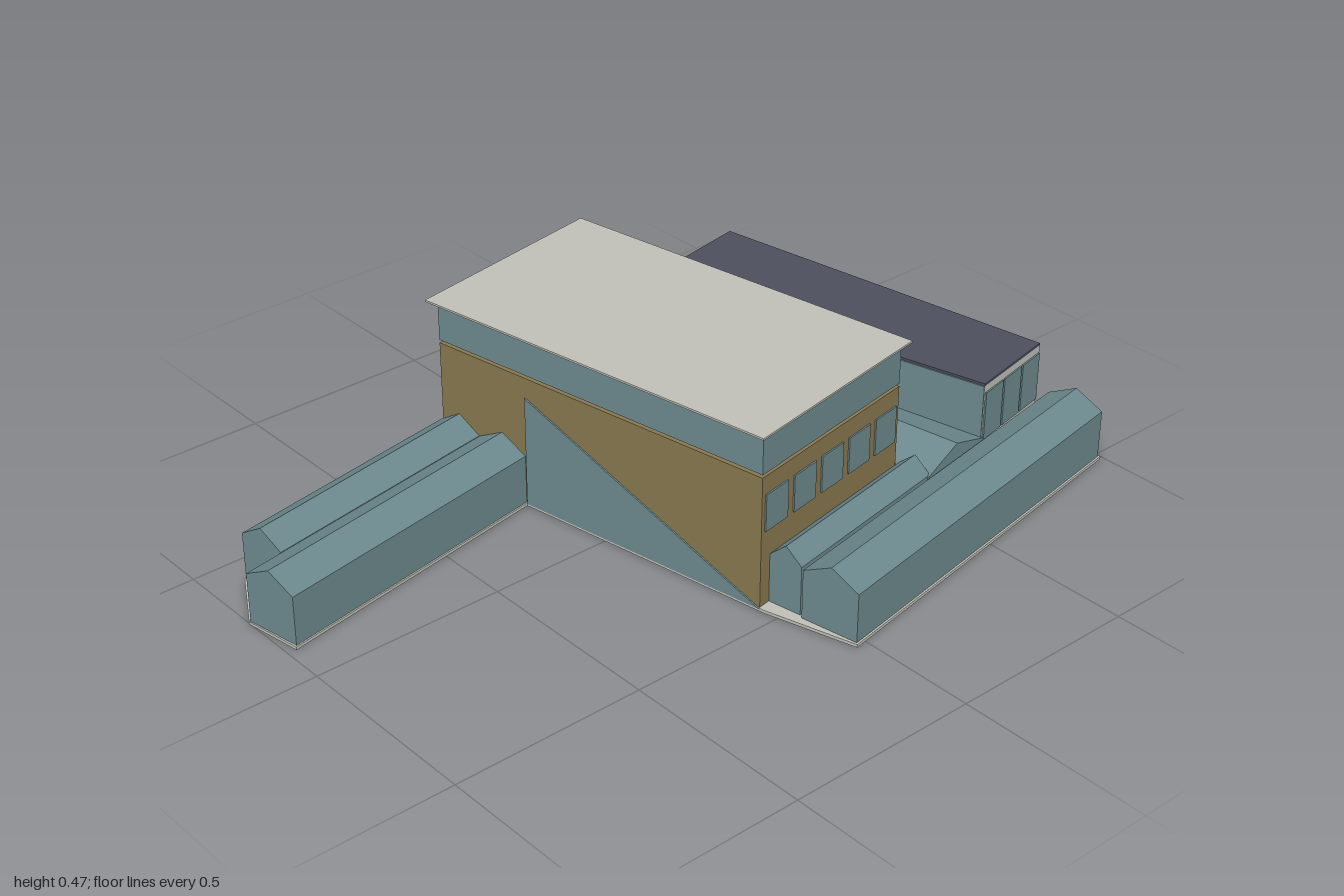
import * as THREE from 'three';

const mat = (name, color) => {
  const m = new THREE.MeshStandardMaterial({ color });
  m.name = name;
  return m;
};

export function createModel() {
  const teal = mat('teal cladding', 0x6c898d);
  const tan = mat('tan wall', 0x87774f);
  const grey = mat('light grey', 0xbfbfb7);
  const slate = mat('slate roof', 0x4c4e5c);

  const model = new THREE.Group();
  model.name = 'buildingComplex';
  // The whole site is turned slightly from the axes
  const site = new THREE.Group();
  site.name = 'site';
  site.rotation.y = THREE.MathUtils.degToRad(9.8);
  model.add(site);

  const add = (name, geo, material) => {
    const mesh = new THREE.Mesh(geo, material);
    mesh.name = name;
    site.add(mesh);
    return mesh;
  };

  const extrude = (points, depth) => new THREE.ExtrudeGeometry(
    new THREE.Shape(points.map(([x, y]) => new THREE.Vector2(x, y))),
    { depth, bevelEnabled: false });

  // Upright block between x, y and z limits
  const block = (name, x0, x1, y0, y1, z0, z1, material) =>
    add(name, new THREE.BoxGeometry(x1 - x0, y1 - y0, z1 - z0)
      .translate((x0 + x1) / 2, (y0 + y1) / 2, (z0 + z1) / 2), material);

  // Slab with a polygon plan of [x, z] points
  const slab = (name, plan, y0, y1, material) =>
    add(name, extrude(plan.map(([x, z]) => [x, -z]), y1 - y0)
      .rotateX(-Math.PI / 2).translate(0, y0, 0), material);

  // Thin upright plate standing on the plan line a-b
  const plate = (name, a, b, y0, y1, material) => {
    const dx = b[0] - a[0], dz = b[1] - a[1];
    add(name, new THREE.BoxGeometry(Math.hypot(dx, dz), y1 - y0, 0.008)
      .rotateY(Math.atan2(-dz, dx))
      .translate((a[0] + b[0]) / 2, (y0 + y1) / 2, (a[1] + b[1]) / 2), material);
  };

  // Evenly spaced plates along a wall
  const windows = (name, a, b, count, fill, y0, y1) => {
    const at = (t) => [a[0] + (b[0] - a[0]) * t, a[1] + (b[1] - a[1]) * t];
    for (let i = 0; i < count; i++) {
      const mid = (i + 0.5) / count, half = fill / count / 2;
      plate(name, at(mid - half), at(mid + half), y0, y1, teal);
    }
  };

  // Low wing with a gable roof, its ridge along x or z
  const wing = (name, x0, x1, z0, z1, ridge) => {
    const half = (ridge === 'x' ? z1 - z0 : x1 - x0) / 2;
    const section = [[-half, 0.006], [half, 0.006], [half, 0.137], [0, 0.176], [-half, 0.137]];
    const geo = extrude(section, ridge === 'x' ? x1 - x0 : z1 - z0);
    if (ridge === 'x') geo.rotateY(Math.PI / 2).translate(x0, 0, (z0 + z1) / 2);
    else geo.translate((x0 + x1) / 2, 0, z0);
    add(name, geo, teal);
  };

  // Ground plate
  slab('groundPlate', [[-0.945, -0.276], [-0.943, -0.43], [-0.832, -0.563], [0.897, -0.556],
    [0.887, 0.683], [-0.15, 0.683], [-0.175, 0.44], [-0.175, -0.276]], 0, 0.008, grey);

  // Main block: tan lower storeys, teal upper storey, flat overhanging roof
  const X0 = -0.172, X1 = 0.354, Z0 = -0.549, Z1 = 0.427;
  block('mainWalls', X0, X1, 0.004, 0.353, Z0, Z1, tan);
  block('storeyJoint', X0 + 0.02, X1 - 0.02, 0.353, 0.361, Z0 + 0.02, Z1 - 0.02, tan);
  block('upperStorey', X0, X1, 0.361, 0.464, Z0, Z1, teal);
  block('mainRoof', X0 - 0.02, X1 + 0.022, 0.465, 0.47, Z0 - 0.022, Z1 + 0.015, grey);
  windows('frontWindow', [X0, Z1], [X1, Z1], 5, 0.78, 0.208, 0.305);
  windows('sideWindow', [X1, Z0], [X1, Z1], 9, 0.8, 0.208, 0.305);

  // Triangular panel on the left-hand long wall
  add('wallPanel', extrude([[-0.275, 0.006], [Z1, 0.006], [-0.275, 0.3]], 0.004)
    .rotateY(-Math.PI / 2).translate(X0, 0, 0), teal);

  // Wings around the main block
  wing('outerFrontWing', -0.145, 0.882, 0.525, 0.678, 'x');
  wing('innerFrontWing', -0.138, 0.37, 0.427, 0.516, 'x');
  wing('westWingBack', -0.832, X0, -0.557, -0.43, 'x');
  wing('westWingFront', -0.94, X0, -0.428, -0.28, 'x');
  wing('eastBackWing', X1, 0.89, -0.552, -0.468, 'x');
  wing('frontLink', 0.36, 0.592, -0.035, 0.52, 'z');
  wing('backLink', 0.36, 0.592, -0.47, -0.331, 'z');

  // Hall with a slanting glazed side and flat slate roof
  const hall = [[0.523, -0.32], [0.592, -0.457], [0.85, -0.46], [0.847, 0.508], [0.592, 0.515]];
  slab('hallWalls', hall, 0.006, 0.279, grey);
  slab('hallRoof', hall, 0.279, 0.285, slate);
  plate('hallGlassSide', hall[0], hall[4], 0.01, 0.279, teal);
  windows('hallFrontWindow', hall[4], hall[3], 3, 0.92, 0.13, 0.26);
  windows('hallBackWindow', hall[1], hall[2], 3, 0.92, 0.13, 0.26);

  return model;
}
